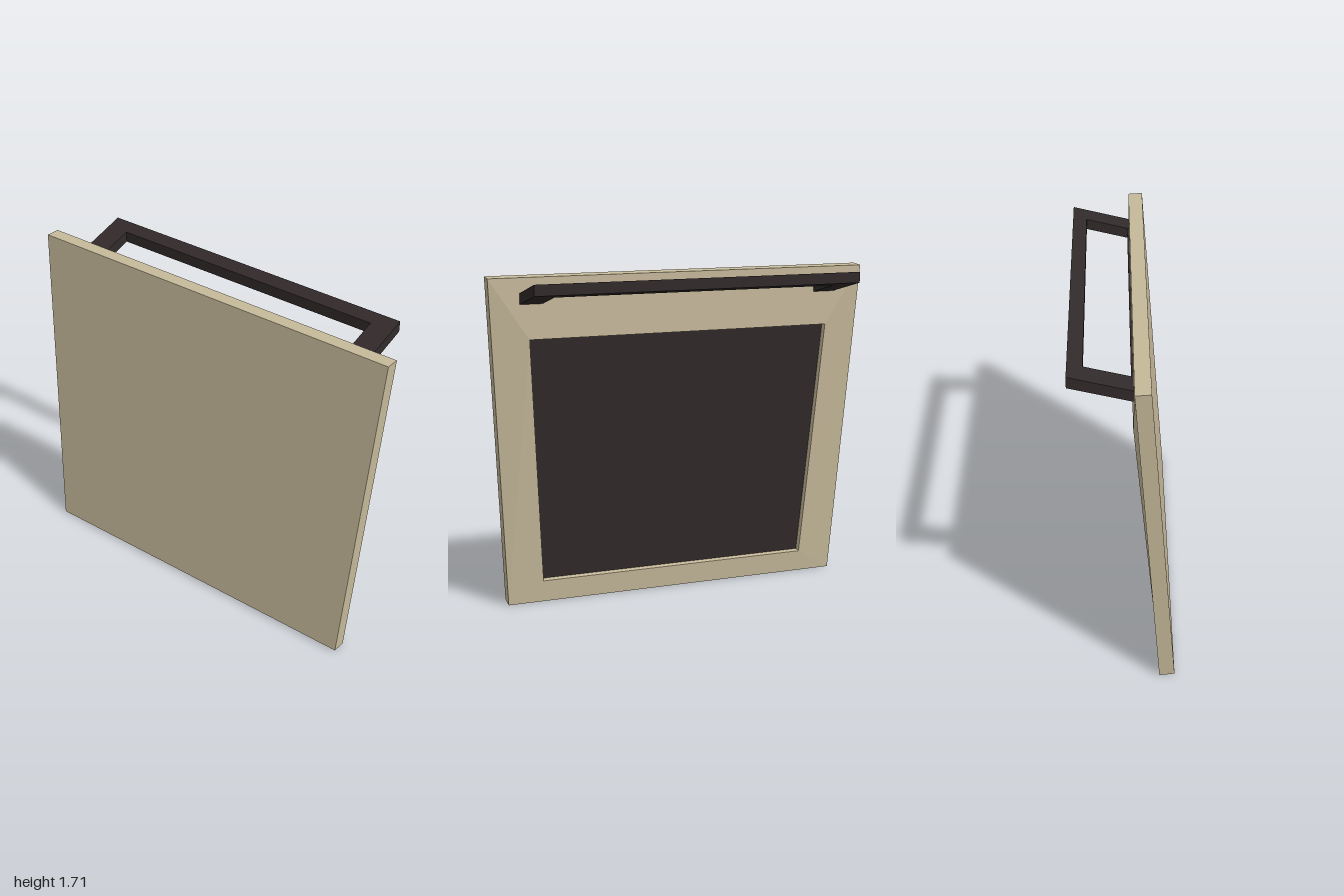
import * as THREE from 'three';

const tan = new THREE.MeshStandardMaterial({ color: 0xc8bb9c });
tan.name = 'tan';
const dark = new THREE.MeshStandardMaterial({ color: 0x322a2a });
dark.name = 'dark';

// four corners of a tapered, tilted outline: bottom y, z, half-width, then top
const ring = (y0, z0, w0, y1, z1, w1) => [
  [-w0, y0, z0], [w0, y0, z0], [w1, y1, z1], [-w1, y1, z1],
];

// flat-faced geometry from a list of four-cornered faces
function quads(faces) {
  const pos = [];
  for (const [a, b, c, d] of faces) pos.push(...a, ...b, ...c, ...a, ...c, ...d);
  const geo = new THREE.BufferGeometry();
  geo.setAttribute('position', new THREE.Float32BufferAttribute(pos, 3));
  geo.computeVertexNormals();
  return geo;
}

function add(group, name, geometry, material) {
  const mesh = new THREE.Mesh(geometry, material);
  mesh.name = name;
  group.add(mesh);
  return mesh;
}

export function createModel() {
  const model = new THREE.Group();
  model.name = 'tiltedPanel';

  // tapered slab: front face, rim, mitred back frame and recess walls
  const rings = [
    ring(0.01, 0.25, 0.915, 1.71, 0.115, 1.0),
    ring(0, 0.175, 0.915, 1.705, 0.042, 1.0),
    ring(0.115, 0.163, 0.73, 1.4, 0.041, 0.8),
    ring(0.118, 0.198, 0.73, 1.403, 0.076, 0.8),
  ];
  const faces = [rings[0]];
  for (let r = 0; r < 3; r++) {
    for (let i = 0; i < 4; i++) {
      const j = (i + 1) % 4;
      faces.push([rings[r][i], rings[r + 1][i], rings[r + 1][j], rings[r][j]]);
    }
  }
  add(model, 'slab', quads(faces), tan);

  // dark floor of the recess
  add(model, 'backPanel', quads([[...rings[3]].reverse()]), dark);

  // U-shaped handle, drawn in plan (x, -z) and sheared upward toward the back
  const plan = new THREE.Shape([
    [-0.845, -0.06], [-0.73, -0.06], [-0.73, 0.18], [0.73, 0.18],
    [0.73, -0.06], [0.845, -0.06], [0.845, 0.25], [-0.845, 0.25],
  ].map(([x, y]) => new THREE.Vector2(x, y)));
  const bar = new THREE.ExtrudeGeometry(plan, { depth: 0.055, bevelEnabled: false });
  bar.rotateX(-Math.PI / 2);
  const p = bar.attributes.position;
  for (let i = 0; i < p.count; i++) {
    p.setY(i, p.getY(i) + 1.575 + (0.04 - p.getZ(i)) * 0.245);
  }
  bar.computeVertexNormals();
  add(model, 'handle', bar, dark);

  // thin edge of the handle's embedded bar
  const edge = add(model, 'handleMount', new THREE.BoxGeometry(1.46, 0.012, 0.03), dark);
  edge.position.set(0, 1.622, 0.047);

  return model;
}
